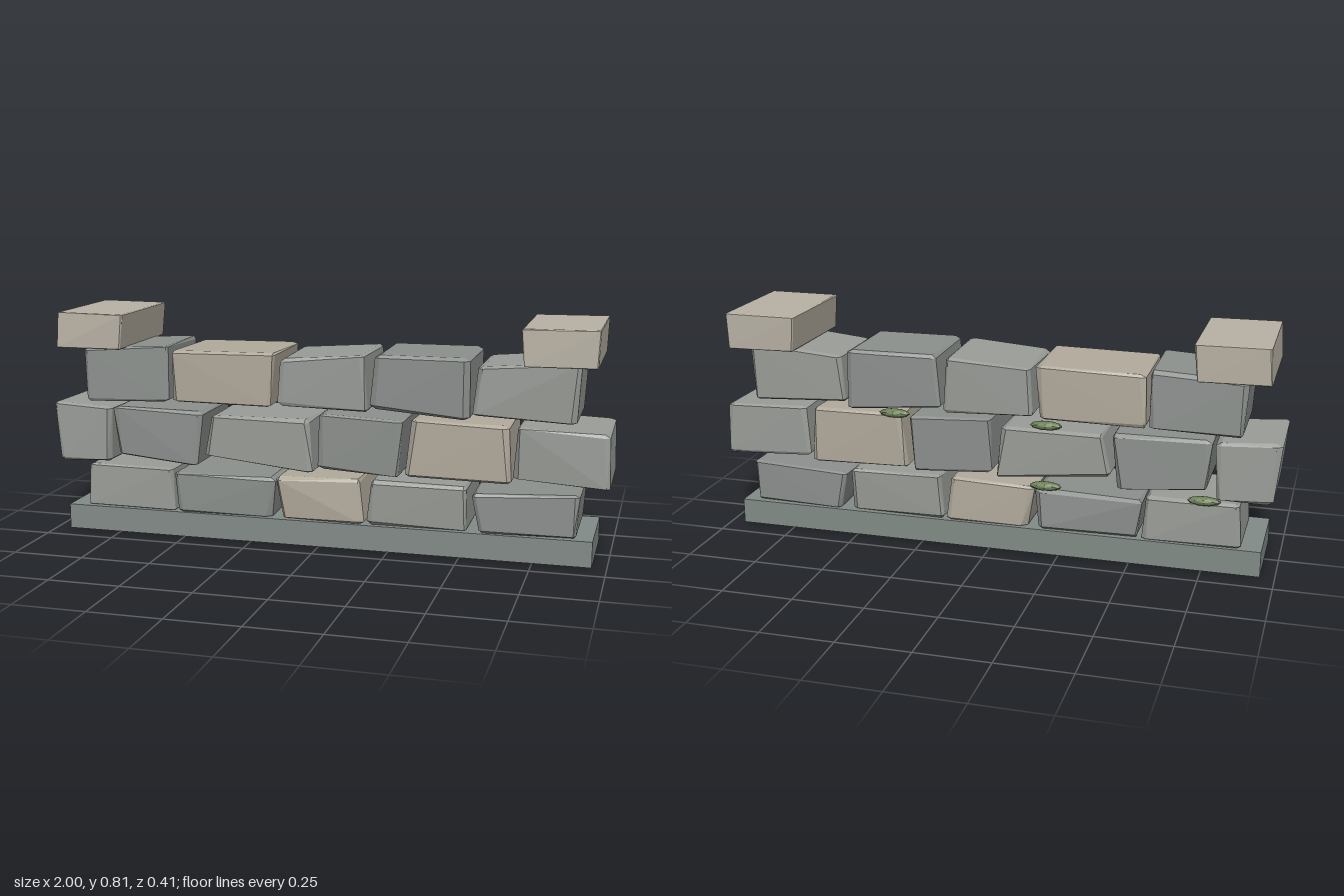
import * as THREE from 'three';
import { ConvexGeometry } from 'three/addons/geometries/ConvexGeometry.js';

const mat = (color) => new THREE.MeshStandardMaterial({ color, flatShading: true });
const GREY = mat(0x9a9d98), DARK = mat(0x8d918e), WARM = mat(0xb2ab9d);
const CAP = mat(0xb9b2a5), BASE = mat(0x838c88), MOSS = mat(0x6b7f55);

// Small seeded generator for the rough cut of the stones
let seed = 11;
const rand = (a, b) => {
  seed = (seed * 16807) % 2147483647;
  return a + (b - a) * (seed / 2147483647);
};

// Rough chamfered block from its front outline in hundredths:
// left top, right top, left bottom, right bottom as x, y pairs
function stone(name, [xlt, ylt, xrt, yrt, xlb, ylb, xrb, yrb], halfDepth, bevel, material) {
  const corners = [[xlt, ylt, 1, -1], [xrt, yrt, -1, -1], [xlb, ylb, 1, 1], [xrb, yrb, -1, 1]];
  const points = [];
  for (const [cx, cy, inX, inY] of corners) {
    for (const side of [1, -1]) {
      const x = cx / 100, y = cy / 100;
      const z = side * (halfDepth + rand(-0.005, 0.005));
      const bx = inX * bevel * rand(0.3, 1.3);
      const by = inY * bevel * rand(0.2, 0.8);
      const bz = -side * bevel * rand(0.3, 1.3);
      points.push(
        new THREE.Vector3(x, y + by, z + bz),
        new THREE.Vector3(x + bx, y, z + bz),
        new THREE.Vector3(x + bx, y + by, z)
      );
    }
  }
  const mesh = new THREE.Mesh(new ConvexGeometry(points), material);
  mesh.name = name;
  return mesh;
}

const courses = [
  { name: 'lowerCourse', stones: [
    [GREY, [-87, 24.8, -55, 24.5, -88, 9, -54, 9]],
    [DARK, [-54, 23.3, -16, 23.6, -52.5, 9, -17.5, 9]],
    [WARM, [-16, 24.2, 14.5, 25, -13.5, 9, 16.2, 9]],
    [GREY, [18.5, 25, 52, 24.8, 17, 9, 52, 9]],
    [DARK, [54, 22.8, 90.3, 24.2, 56.5, 9, 89.3, 9]],
  ] },
  { name: 'middleCourse', stones: [
    [GREY, [-100, 47, -78, 46, -98, 25.6, -79, 25.6]],
    [DARK, [-77, 46.5, -43, 46, -75.5, 28.5, -45, 26.3]],
    [GREY, [-39.5, 45, -3.7, 45.2, -42.5, 30, -2.2, 26.5]],
    [DARK, [0, 47.5, 29.5, 46.5, -0.6, 28, 28, 26.3]],
    [WARM, [32.5, 47, 66, 46.5, 30.5, 27, 67, 26.3]],
    [GREY, [69, 46.5, 99.5, 45.5, 67.5, 28.3, 100, 26.7]],
  ] },
  { name: 'upperCourse', stones: [
    [DARK, [-88, 67.5, -55.5, 69, -86.8, 48, -55.5, 49]],
    [WARM, [-54, 67.5, -16, 68, -54.5, 49, -17.6, 49]],
    [GREY, [-14, 66.5, 16, 68.5, -15, 49.7, 17, 48.7]],
    [DARK, [19.7, 69, 52.4, 69, 18, 50.2, 52.4, 47.6]],
    [GREY, [55, 66.3, 89.5, 69, 53.5, 49.7, 88.3, 48]],
  ] },
];

export function createModel() {
  const wall = new THREE.Group();
  wall.name = 'stoneWall';

  // Plinth
  const base = new THREE.Mesh(new THREE.BoxGeometry(1.9, 0.09, 0.326), BASE);
  base.name = 'base';
  base.position.y = 0.045;
  wall.add(base);

  // Three courses of stones
  for (const { name, stones } of courses) {
    const course = new THREE.Group();
    course.name = name;
    stones.forEach(([material, outline], i) =>
      course.add(stone(`stone${i + 1}`, outline, 0.155, 0.017, material)));
    wall.add(course);
  }

  // Cap stones overhanging both ends
  wall.add(stone('rightCapStone', [-95, 80.5, -70.2, 80.3, -95.7, 67.8, -71.5, 67.8], 0.203, 0.005, CAP));
  wall.add(stone('leftCapStone', [70, 80.3, 95.5, 80.5, 71, 67.8, 95, 67.8], 0.203, 0.005, CAP));

  // Moss tufts in the joints of the back face
  for (const [x, y] of [[-0.2, 0.25], [-0.75, 0.25], [-0.2, 0.47], [0.35, 0.47]]) {
    const moss = new THREE.Mesh(new THREE.IcosahedronGeometry(1, 1), MOSS);
    moss.name = 'moss';
    moss.scale.set(0.057, 0.016, 0.022);
    moss.position.set(x, y, -0.15);
    wall.add(moss);
  }
  return wall;
}
